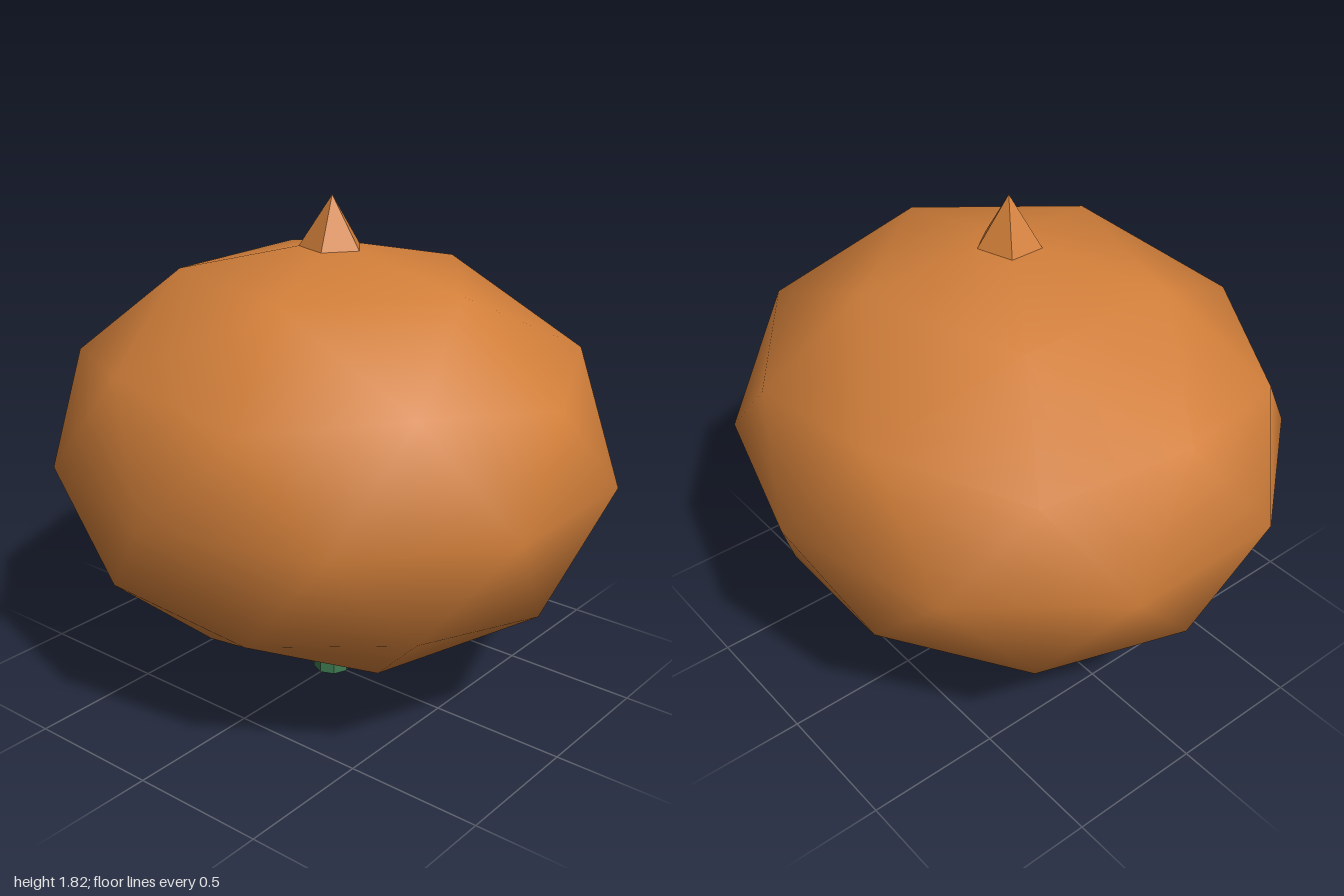
import * as THREE from 'three';
import { mergeVertices } from 'three/addons/utils/BufferGeometryUtils.js';

const rind = new THREE.MeshStandardMaterial({ color: 0xd27f3a });
rind.name = 'orange rind';
const green = new THREE.MeshStandardMaterial({ color: 0x3f7a50 });
green.name = 'green stem';

function addPart(group, name, geometry, material, y) {
  const mesh = new THREE.Mesh(geometry, material);
  mesh.name = name;
  mesh.position.y = y;
  group.add(mesh);
}

// Squashed icosphere with a corner at each pole and smooth normals
function bodyGeometry() {
  const geo = new THREE.IcosahedronGeometry(1, 1);
  geo.deleteAttribute('uv');
  geo.deleteAttribute('normal');
  geo.rotateZ(Math.atan(2 / (1 + Math.sqrt(5))));
  geo.rotateY(Math.PI);
  geo.scale(1.0515, 0.76, 0.965);
  const merged = mergeVertices(geo, 1e-3);
  merged.computeVertexNormals();
  return merged;
}

// Faceted geometry: split the corners so every side is flat
function faceted(geometry) {
  const geo = geometry.toNonIndexed();
  geo.computeVertexNormals();
  return geo;
}

export function createModel() {
  const model = new THREE.Group();
  model.name = 'fruit';

  addPart(model, 'body', bodyGeometry(), rind, 0.905);

  // Five-sided point on top
  const tip = new THREE.ConeGeometry(0.12, 0.18, 5, 1, false, Math.PI / 2);
  tip.scale(1, 1, 0.92);
  addPart(model, 'tip', faceted(tip), rind, 1.73);

  // Eight-sided stem underneath
  const stem = new THREE.CylinderGeometry(0.071, 0.071, 0.18, 8);
  addPart(model, 'stem', faceted(stem), green, 0.09);

  return model;
}
